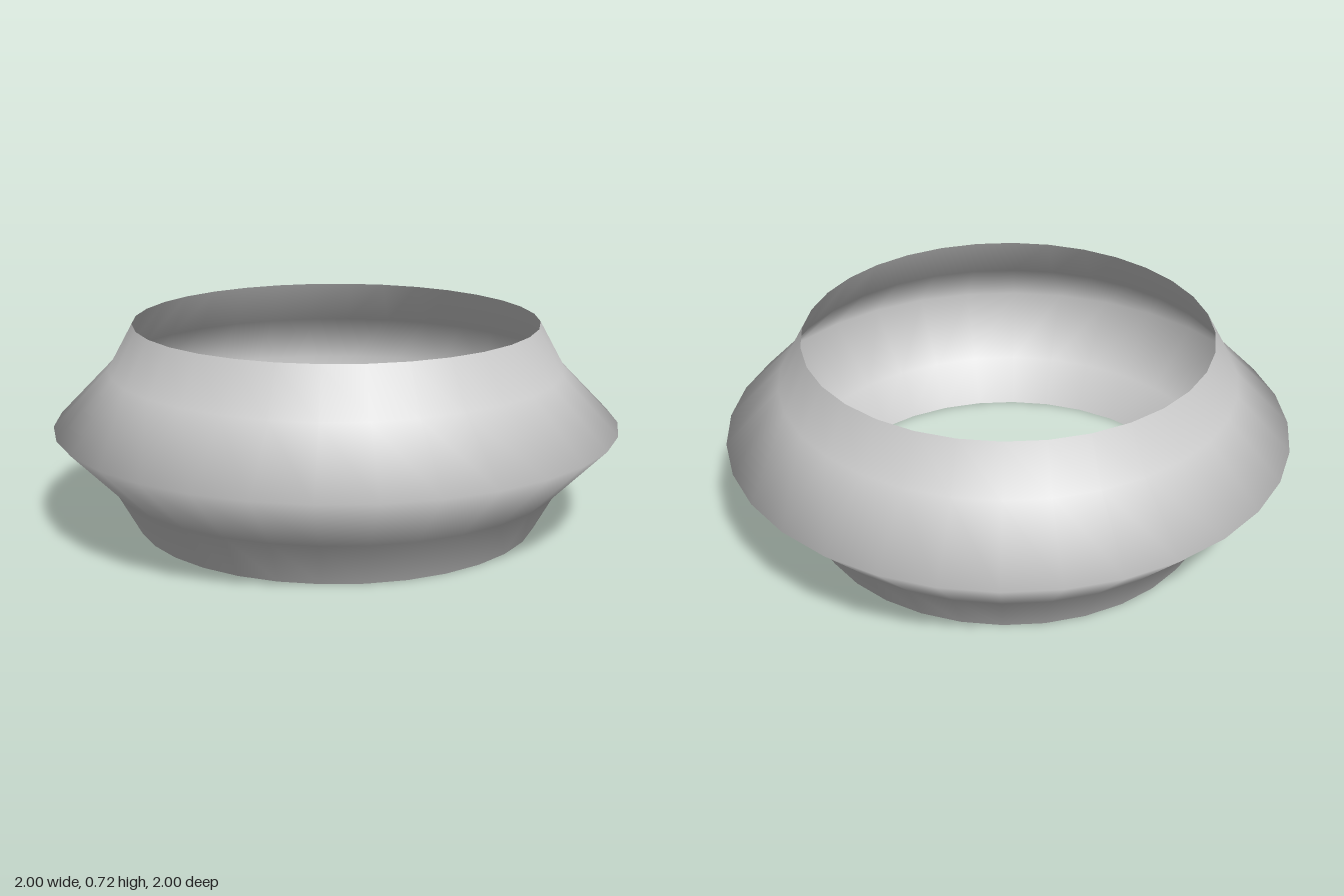
import * as THREE from 'three';

export function createModel() {
  const group = new THREE.Group();
  group.name = 'ring';

  // Open band: sharp outward ridge at mid height, narrower steeper rims
  const profile = [
    [0.717, 0], [0.805, 0.16], [1, 0.36], [0.805, 0.56], [0.717, 0.72],
  ].map(([r, y]) => new THREE.Vector2(r, y));

  const band = new THREE.Mesh(
    new THREE.LatheGeometry(profile, 32),
    new THREE.MeshStandardMaterial({ color: 0xcccccc, side: THREE.DoubleSide })
  );
  band.name = 'ringBand';
  group.add(band);
  return group;
}
